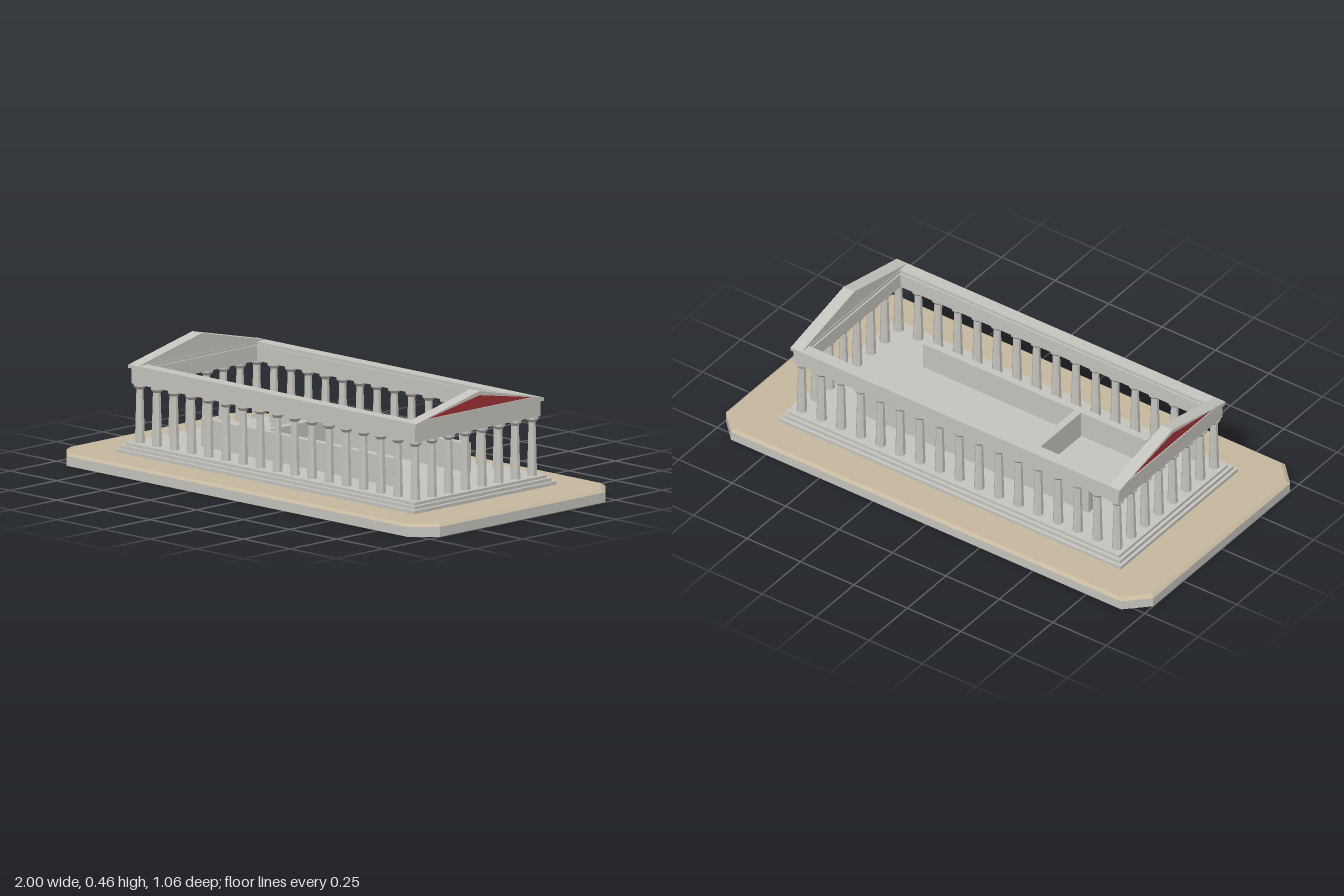
import * as THREE from 'three';

const mat = (name, color) => {
  const m = new THREE.MeshStandardMaterial({ color });
  m.name = name;
  return m;
};

export function createModel() {
  const stone = mat('stone', 0xc6c4be);
  const sand = mat('sand', 0xc6b89e);
  const red = mat('red', 0xa03235);
  const temple = new THREE.Group();
  temple.name = 'temple';

  const add = (name, geometry, material, parent = temple) => {
    const mesh = new THREE.Mesh(geometry, material);
    mesh.name = name;
    parent.add(mesh);
    return mesh;
  };
  // Box given by its extents
  const block = (name, x0, x1, y0, y1, z0, z1) =>
    add(name, new THREE.BoxGeometry(x1 - x0, y1 - y0, z1 - z0), stone)
      .position.set((x0 + x1) / 2, (y0 + y1) / 2, (z0 + z1) / 2);
  const outline = (points, Type = THREE.Shape) =>
    new Type(points.map(([x, y]) => new THREE.Vector2(x, y)));
  const rect = (x, z) => [[-x, -z], [x, -z], [x, z], [-x, z]];
  // Plan shape extruded upward from y0 to y1
  const slab = (shape, y0, y1) =>
    new THREE.ExtrudeGeometry(shape, { depth: y1 - y0, bevelEnabled: false })
      .rotateX(-Math.PI / 2).translate(0, y0, 0);

  // Ground plinth with cut corners, and its bevelled sandy top
  const X = 1, Z = 0.532, C = 0.087;
  const plan = outline([[X, -Z + C], [X, Z - C], [X - C, Z], [-X + C, Z],
    [-X, Z - C], [-X, -Z + C], [-X + C, -Z], [X - C, -Z]]);
  add('plinth', slab(plan, 0, 0.038), stone);
  const ground = slab(plan, 0.038, 0.048);
  const p = ground.attributes.position;
  for (let i = 0; i < p.count; i++) {
    if (p.getY(i) > 0.043) p.setXYZ(i, p.getX(i) * 0.988, p.getY(i), p.getZ(i) * 0.978);
  }
  ground.computeVertexNormals();
  add('groundTop', ground, sand);

  // Three steps
  [[0.802, 0.382, 0.061], [0.789, 0.368, 0.074], [0.775, 0.354, 0.085]].forEach(([x, z, top], i) =>
    block('step' + (i + 1), -x, x, 0.047, top, -z, z));

  // Inner chamber walls
  for (const s of [-1, 1]) {
    const z = [s * 0.174, s * 0.203].sort((a, b) => a - b);
    block('longWall', -0.522, 0.522, 0.084, 0.195, z[0], z[1]);
  }
  block('crossWall', -0.217, -0.187, 0.084, 0.195, -0.174, 0.174);

  // Columns: faceted tapering shaft, flared capital and top disc
  const drum = (rTop, rBottom, y0, y1) =>
    new THREE.CylinderGeometry(rTop, rBottom, y1 - y0, 8, 1, false, Math.PI / 8)
      .toNonIndexed().translate(0, (y0 + y1) / 2, 0);
  const parts = [
    ['shaft', drum(0.0145, 0.0205, 0.085, 0.294)],
    ['capital', drum(0.0255, 0.0155, 0.293, 0.305)],
    ['capitalTop', drum(0.0255, 0.0255, 0.305, 0.315)],
  ];
  parts.forEach(([, g]) => g.computeVertexNormals());
  const column = (x, z) => {
    const group = new THREE.Group();
    group.name = 'column';
    parts.forEach(([name, g]) => add(name, g, stone, group));
    group.position.set(x, 0, z);
    temple.add(group);
  };
  const ALONG = 17, ACROSS = 8, CX = 0.738, CZ = 0.314;
  for (let i = 0; i < ALONG; i++) {
    for (const s of [-1, 1]) column(-CX + (2 * CX * i) / (ALONG - 1), s * CZ);
  }
  for (let i = 1; i < ACROSS - 1; i++) {
    for (const s of [-1, 1]) column(s * CX, -CZ + (2 * CZ * i) / (ACROSS - 1));
  }

  // Open rings resting on the columns
  const ring = (name, x, z, ix, iz, y0, y1) => {
    const shape = outline(rect(x, z));
    shape.holes.push(outline(rect(ix, iz), THREE.Path));
    add(name, slab(shape, y0, y1), stone);
  };
  ring('beam', 0.76, 0.337, 0.711, 0.288, 0.314, 0.374);
  ring('cornice', 0.77, 0.345, 0.717, 0.294, 0.374, 0.387);

  // Gables: solid back, raised rim and red panel, facing outward at each end
  const gableOutline = [[-0.345, 0.386], [0.345, 0.386], [0, 0.464]];
  const panelOutline = [[-0.285, 0.397], [0.285, 0.397], [0, 0.448]];
  const extrude = (shape, depth, z) =>
    new THREE.ExtrudeGeometry(shape, { depth, bevelEnabled: false }).translate(0, 0, z);
  const rim = outline(gableOutline);
  rim.holes.push(outline(panelOutline, THREE.Path));
  for (const s of [-1, 1]) {
    const gable = new THREE.Group();
    gable.name = s > 0 ? 'leftGable' : 'rightGable';
    add('gableBack', extrude(outline(gableOutline), 0.043, 0.719), stone, gable);
    add('gableRim', extrude(rim, 0.008, 0.762), stone, gable);
    add('gablePanel', extrude(outline(panelOutline), 0.004, 0.762), red, gable);
    gable.rotation.y = s * Math.PI / 2;
    temple.add(gable);
  }
  return temple;
}
